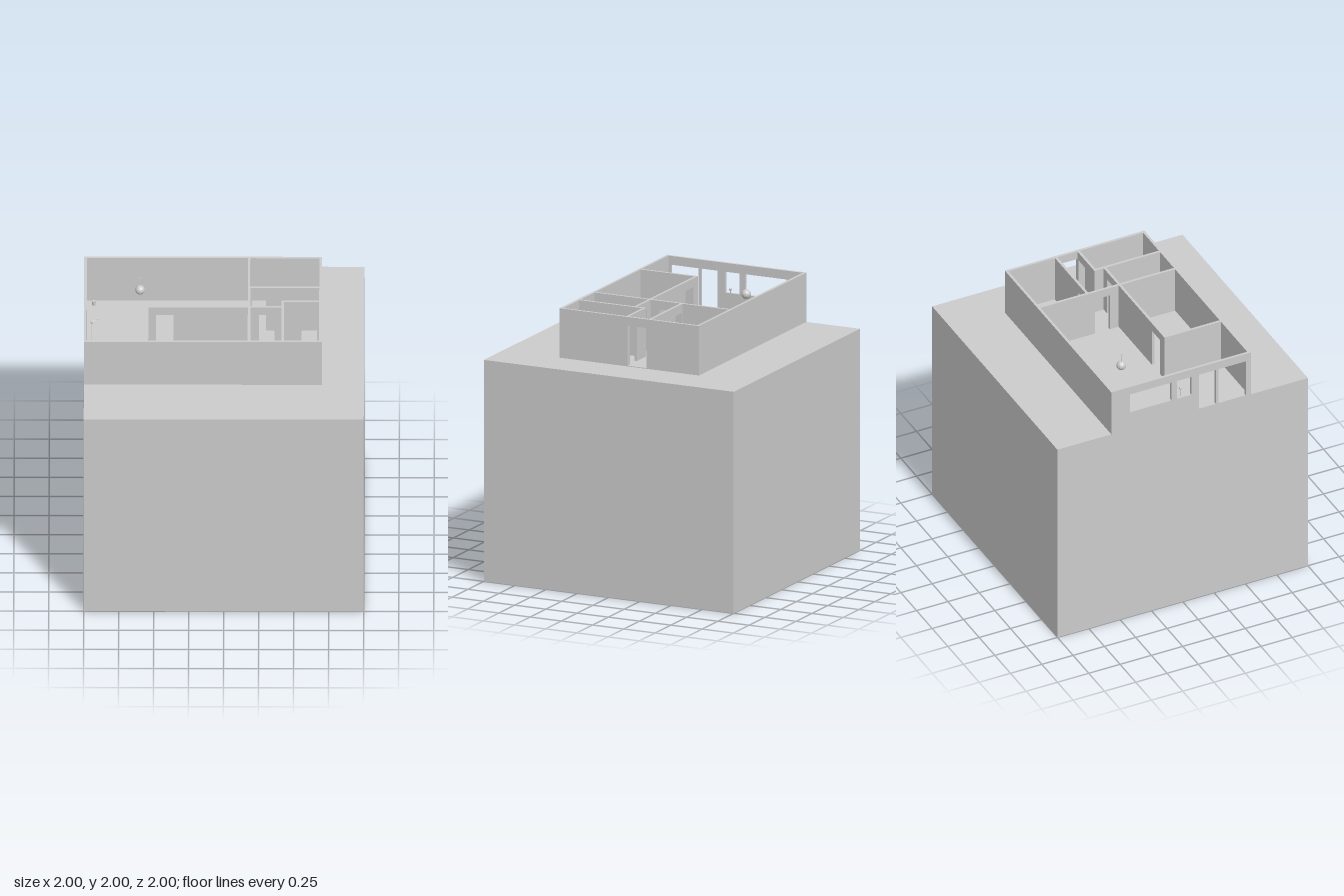
import * as THREE from 'three';

const BASE = 1.635, TOP = 2.0, T = 0.02;
const SILL = BASE + 0.005, HEAD = 1.935, WINDOW = 1.78;
const mat = new THREE.MeshStandardMaterial({ color: 0xcccccc, flatShading: true });

function add(parent, name, geometry, x = 0, y = 0, z = 0) {
  const mesh = new THREE.Mesh(geometry, mat);
  mesh.name = name;
  mesh.position.set(x, y, z);
  parent.add(mesh);
  return mesh;
}

// Wall from a to b along one axis; openings are [from, to, bottom]
function wall(parent, name, axis, at, a, b, openings = []) {
  const shape = new THREE.Shape([[a, BASE], [b, BASE], [b, TOP], [a, TOP]].map(p => new THREE.Vector2(...p)));
  for (const [u0, u1, bottom = SILL] of openings) {
    shape.holes.push(new THREE.Path(
      [[u0, bottom], [u0, HEAD], [u1, HEAD], [u1, bottom]].map(p => new THREE.Vector2(...p))));
  }
  const geo = new THREE.ExtrudeGeometry(shape, { depth: T, bevelEnabled: false });
  if (axis === 'z') {
    geo.rotateY(-Math.PI / 2);
    add(parent, name, geo, at + T, 0, 0);
  } else {
    add(parent, name, geo, 0, 0, at);
  }
}

// Thin rod between two points
function rod(parent, name, from, to, r) {
  const a = new THREE.Vector3(...from), b = new THREE.Vector3(...to);
  const mesh = add(parent, name, new THREE.CylinderGeometry(r, r, a.distanceTo(b), 8));
  mesh.position.copy(a).lerp(b, 0.5);
  mesh.quaternion.setFromUnitVectors(new THREE.Vector3(0, 1, 0), b.sub(a).normalize());
}

export function createModel() {
  const model = new THREE.Group();
  model.name = 'apartment';

  // Solid block under the apartment, and the floor
  add(model, 'base', new THREE.BoxGeometry(2, BASE, 2), 0, BASE / 2, 0);
  add(model, 'floor', new THREE.BoxGeometry(1.66, 0.005, 1.075), -0.15, BASE + 0.0025, -0.0125);

  // Outer walls
  const walls = new THREE.Group();
  walls.name = 'walls';
  model.add(walls);
  wall(walls, 'frontWall', 'x', 0.525, -1, 0.7);
  wall(walls, 'backWall', 'x', -0.57, -1, 0.7);
  wall(walls, 'entranceWall', 'z', 0.68, -0.55, 0.525, [[-0.15, 0]]);
  wall(walls, 'windowWall', 'z', -1, -0.55, 0.525,
    [[-0.42, -0.09, WINDOW], [-0.045, 0.07, WINDOW], [0.13, 0.265], [0.285, 0.505]]);

  // Room partitions with doorways
  wall(walls, 'hallWall', 'z', 0.17, -0.55, 0.525, [[-0.115, 0.005]]);
  wall(walls, 'backRoomWall', 'x', -0.18, 0.19, 0.68, [[0.2, 0.3]]);
  wall(walls, 'bedroomWall', 'x', 0.075, -0.56, 0.17, [[-0.485, -0.36]]);
  wall(walls, 'bedroomSideWall', 'z', -0.56, 0.095, 0.525);
  wall(walls, 'bathroomWall', 'x', 0.075, 0.19, 0.41, [[0.25, 0.36]]);
  wall(walls, 'bathroomSideWall', 'z', 0.41, 0, 0.525);
  wall(walls, 'closetWall', 'x', 0, 0.43, 0.68, [[0.555, 0.665]]);

  // Hanging lamp
  const lamp = new THREE.Group();
  lamp.name = 'hangingLamp';
  lamp.position.set(-0.6, 0, -0.29);
  model.add(lamp);
  add(lamp, 'lampShade', new THREE.SphereGeometry(0.035, 16, 12), 0, 1.9, 0);
  add(lamp, 'lampCord', new THREE.CylinderGeometry(0.001, 0.001, 0.065, 6), 0, 1.965, 0);
  add(lamp, 'ceilingCap', new THREE.CylinderGeometry(0.007, 0.007, 0.004, 12), 0, 1.996, 0);

  // Small round pot in the corner
  add(model, 'cornerPot', new THREE.CylinderGeometry(0.014, 0.012, 0.035, 16), -0.93, SILL + 0.0175, -0.49);

  // Small stand with a slanted arm by the window
  const stand = new THREE.Group();
  stand.name = 'windowStand';
  model.add(stand);
  add(stand, 'standHead', new THREE.SphereGeometry(0.01, 12, 8), -0.945, 1.82, 0.01);
  rod(stand, 'standArm', [-0.945, 1.82, 0.01], [-0.9, 1.835, -0.01], 0.003);
  rod(stand, 'standPole', [-0.945, SILL, 0.01], [-0.945, 1.82, 0.01], 0.002);

  return model;
}
